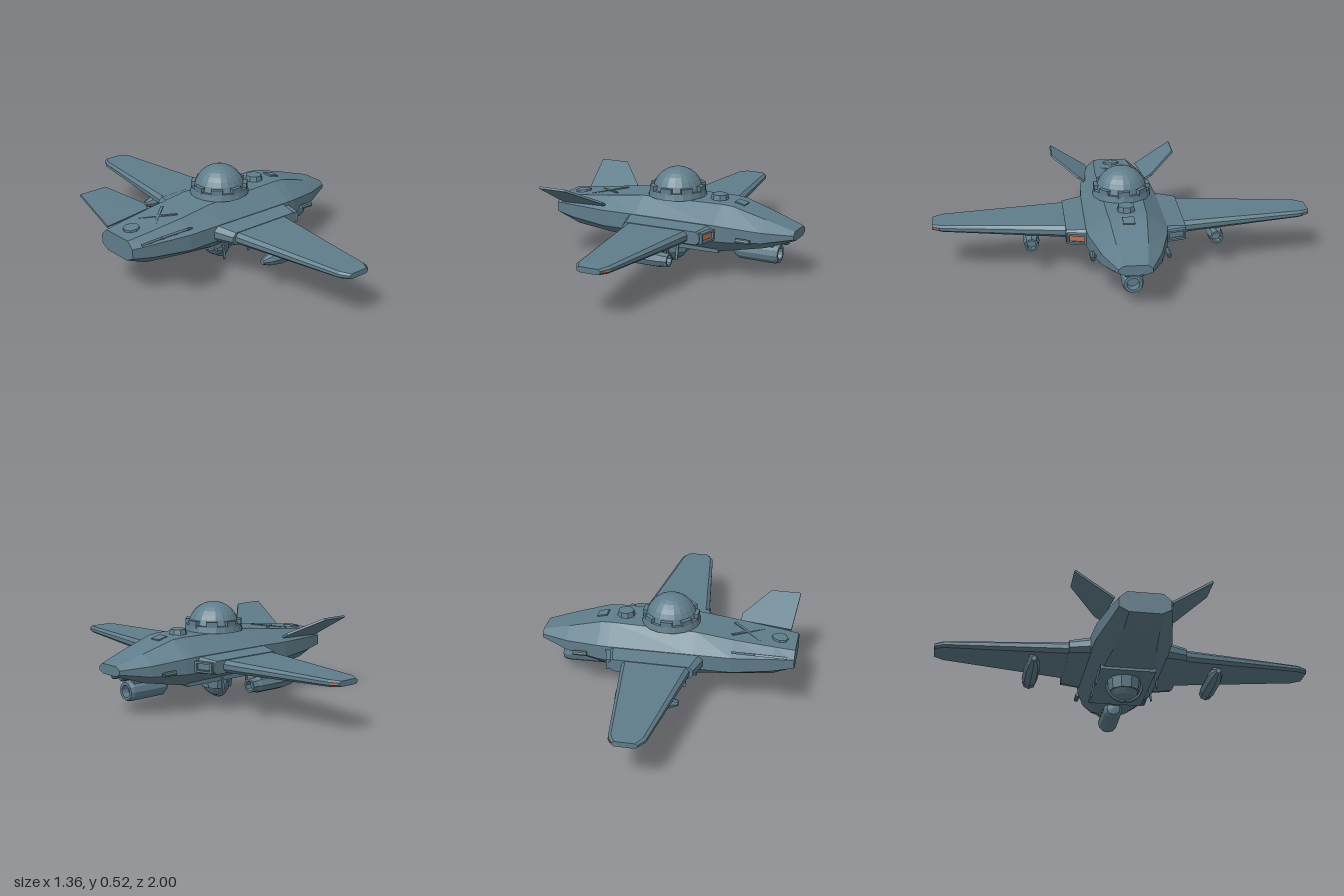
import * as THREE from 'three';

const hull = new THREE.MeshStandardMaterial({ color: 0x607d8b });
hull.name = 'blue grey hull';
const amber = new THREE.MeshStandardMaterial({ color: 0xc07050 });
amber.name = 'copper light';

const SIDES = [1, -1];

// Give a geometry hard facets
function flat(geo) {
  const g = geo.index ? geo.toNonIndexed() : geo;
  g.computeVertexNormals();
  return g;
}

// Skin between matching rings of [x, y, z], capped at both ends; side -1 mirrors in z
function loft(rings, side = 1) {
  const pos = [];
  const tri = (a, b, c) => {
    for (const p of side > 0 ? [a, b, c] : [a, c, b]) pos.push(p[0], p[1], p[2] * side);
  };
  const n = rings[0].length;
  for (let r = 0; r < rings.length - 1; r++) {
    const a = rings[r], b = rings[r + 1];
    for (let i = 0; i < n; i++) {
      const j = (i + 1) % n;
      tri(a[i], a[j], b[j]);
      tri(a[i], b[j], b[i]);
    }
  }
  const first = rings[0], last = rings[rings.length - 1];
  for (let i = 1; i < n - 1; i++) {
    tri(first[0], first[i + 1], first[i]);
    tri(last[0], last[i], last[i + 1]);
  }
  const g = new THREE.BufferGeometry();
  g.setAttribute('position', new THREE.Float32BufferAttribute(pos, 3));
  return flat(g);
}

// Turned part lying along x, from [x, radius] pairs
function turned(profile, sides) {
  const pts = profile.map(([x, r]) => new THREE.Vector2(r, x));
  return flat(new THREE.LatheGeometry(pts, sides).rotateZ(-Math.PI / 2));
}

export function createModel() {
  const model = new THREE.Group();
  model.name = 'patrolCraft';

  const add = (name, geo, x = 0, y = 0, z = 0, mat = hull) => {
    const m = new THREE.Mesh(geo, mat);
    m.name = name;
    m.position.set(x, y, z);
    model.add(m);
    return m;
  };
  const box = (w, h, d) => new THREE.BoxGeometry(w, h, d);
  const drum = (rTop, rBottom, h, n) => flat(new THREE.CylinderGeometry(rTop, rBottom, h, n));

  // Fuselage: x, bottom y, bottom half width, side low y, side high y, side half width, top y, top half width
  const sections = [
    [-0.68, 0.2, 0.08, 0.225, 0.275, 0.13, 0.31, 0.09],
    [-0.57, 0.16, 0.09, 0.21, 0.28, 0.155, 0.323, 0.1],
    [-0.36, 0.145, 0.11, 0.2, 0.285, 0.195, 0.347, 0.11],
    [-0.16, 0.138, 0.13, 0.205, 0.29, 0.205, 0.372, 0.11],
    [0.29, 0.13, 0.13, 0.205, 0.29, 0.21, 0.375, 0.1],
    [0.35, 0.14, 0.12, 0.205, 0.285, 0.2, 0.37, 0.095],
    [0.53, 0.17, 0.09, 0.21, 0.265, 0.15, 0.317, 0.08],
    [0.68, 0.218, 0.05, 0.232, 0.252, 0.085, 0.27, 0.06],
  ];
  add('fuselage', loft(sections.map(([x, yb, wb, yl, yh, w, yt, wt]) => [
    [x, yt, wt], [x, yh, w], [x, yl, w], [x, yb, wb],
    [x, yb, -wb], [x, yl, -w], [x, yh, -w], [x, yt, -wt],
  ])));
  add('bellyPlate', box(0.46, 0.045, 0.29), 0.06, 0.147, 0);

  // Dome cockpit on its collar, with a hatch frame and clamps
  add('domeCollar', drum(0.148, 0.156, 0.035, 20), -0.01, 0.389, 0);
  add('dome', flat(new THREE.SphereGeometry(0.136, 20, 8, 0, Math.PI * 2, 0, Math.PI / 2)), -0.01, 0.385, 0);
  for (let i = 0; i < 8; i++) {
    const a = (i / 8) * Math.PI * 2;
    add('collarClamp', box(0.028, 0.035, 0.06), -0.01 + Math.cos(a) * 0.133, 0.413, Math.sin(a) * 0.133).rotation.y = -a;
  }

  // Deck hatches
  add('roundHatch', drum(0.042, 0.05, 0.035, 8), 0.235, 0.384, 0).rotation.y = Math.PI / 8;
  add('squareHatch', box(0.055, 0.014, 0.06), 0.36, 0.366, 0).rotation.z = -0.25;
  add('rearHatch', drum(0.042, 0.046, 0.014, 8), -0.59, 0.323, 0).rotation.z = 0.11;
  for (const s of SIDES) {
    const brace = add('deckBrace', box(0.2, 0.006, 0.014), -0.42, 0.341, 0);
    brace.rotation.set(0, s * 0.7, 0.115);
  }

  // Ball turret under the belly with its cradle
  add('turretCollar', drum(0.09, 0.082, 0.075, 10), -0.03, 0.098, 0);
  add('turretBall', flat(new THREE.SphereGeometry(0.078, 12, 8)), -0.03, 0.088, 0);
  add('turretCradle', flat(new THREE.TorusGeometry(0.094, 0.008, 6, 16, Math.PI).rotateZ(Math.PI).rotateY(Math.PI / 2)),
    -0.03, 0.102, 0);

  // Chin gun pod with a hollow muzzle
  add('chinPod', turned([[0.33, 0], [0.335, 0.036], [0.36, 0.052], [0.56, 0.055], [0.58, 0.047], [0.58, 0.032], [0.54, 0.03], [0.54, 0]], 12), 0, 0.12, 0);
  add('chinMount', box(0.17, 0.06, 0.07), 0.47, 0.17, 0);

  // Hexagonal wing section at span z
  const wingRing = (z, x0, x1, y0, y1, c) => {
    const ym = (y0 + y1) / 2, e = (y1 - y0) * 0.2;
    return [
      [x1, ym - e, z], [x1, ym + e, z], [x1 - c, y1, z], [x0 + c, y1, z],
      [x0, ym + e, z], [x0, ym - e, z], [x0 + c, y0, z], [x1 - c, y0, z],
    ];
  };

  for (const s of SIDES) {
    const side = s > 0 ? 'left' : 'right';

    // Wing and its thicker root
    add(side + 'Wing', loft([
      wingRing(0.26, -0.17, 0.2, 0.208, 0.274, 0.02),
      wingRing(0.95, -0.075, 0.108, 0.234, 0.269, 0.014),
      wingRing(1.0, -0.045, 0.08, 0.238, 0.266, 0.012),
    ], s));
    add(side + 'WingRoot', loft([
      wingRing(0.14, -0.22, 0.295, 0.195, 0.3, 0.03),
      wingRing(0.2, -0.215, 0.288, 0.2, 0.288, 0.025),
      wingRing(0.31, -0.18, 0.26, 0.208, 0.277, 0.02),
    ], s));

    // Intake frame on the front of the root
    const intake = new THREE.Group();
    intake.name = side + 'Intake';
    intake.position.set(0.272, 0.243, s * 0.255);
    intake.rotation.y = s * -0.25;
    const part = (name, geo, x, y, z, mat = hull) => {
      const m = new THREE.Mesh(geo, mat);
      m.name = name;
      m.position.set(x, y, z);
      intake.add(m);
    };
    for (const k of SIDES) {
      part('intakeLip', box(0.024, 0.01, 0.1), 0.004, k * 0.023, 0);
      part('intakePost', box(0.024, 0.05, 0.01), 0.004, 0, k * 0.046);
    }
    if (s > 0) part('intakePanel', box(0.006, 0.028, 0.075), 0.003, 0.003, 0, amber);
    model.add(intake);

    // Wing tip light
    add(side + 'TipLight', box(0.03, 0.012, 0.009), 0.094, 0.252, s * 0.974, amber).rotation.y = s * 1.03;

    // Under-wing pod on a pylon
    add(side + 'WingPod', turned([[-0.14, 0], [-0.14, 0.014], [-0.09, 0.034], [-0.03, 0.042], [0.13, 0.042], [0.145, 0.036],
      [0.18, 0.036], [0.18, 0.026], [0.15, 0.024], [0.15, 0]], 8), 0, 0.172, s * 0.487);
    add(side + 'Pylon', box(0.2, 0.05, 0.04), 0.02, 0.215, s * 0.487);

    // Canted tail fin
    const plan = [[-0.66, 0.345], [-0.5, 0.345], [-0.36, 0.205], [-0.36, 0.17], [-0.635, 0.145]];
    const fin = [-1, 1].map((k) => plan.map(([x, z]) => [
      x, 0.412 - 0.6 * (0.345 - z) + k * 0.005, z - k * 0.003,
    ]));
    add(side + 'TailFin', loft(fin, s));

    // Cheek gun, nose sensor and belly aerials
    add(side + 'CheekGun', turned([[-0.04, 0], [-0.04, 0.013], [0.035, 0.013], [0.035, 0.007], [0.02, 0.007], [0.02, 0]], 8), 0.45, 0.222, s * 0.192);
    add(side + 'GunBracket', box(0.04, 0.012, 0.04), 0.43, 0.222, s * 0.172);
    add(side + 'NoseSensor', turned([[-0.04, 0], [-0.04, 0.016], [0.02, 0.016], [0.03, 0.008], [0.03, 0]], 8), 0.61, 0.2, s * 0.035);
    for (const x of [-0.11, 0.06]) {
      add(side + 'Aerial', box(0.014, 0.08, 0.008), x, 0.1, s * 0.155).rotation.x = s * -0.15;
    }
  }
  return model;
}
